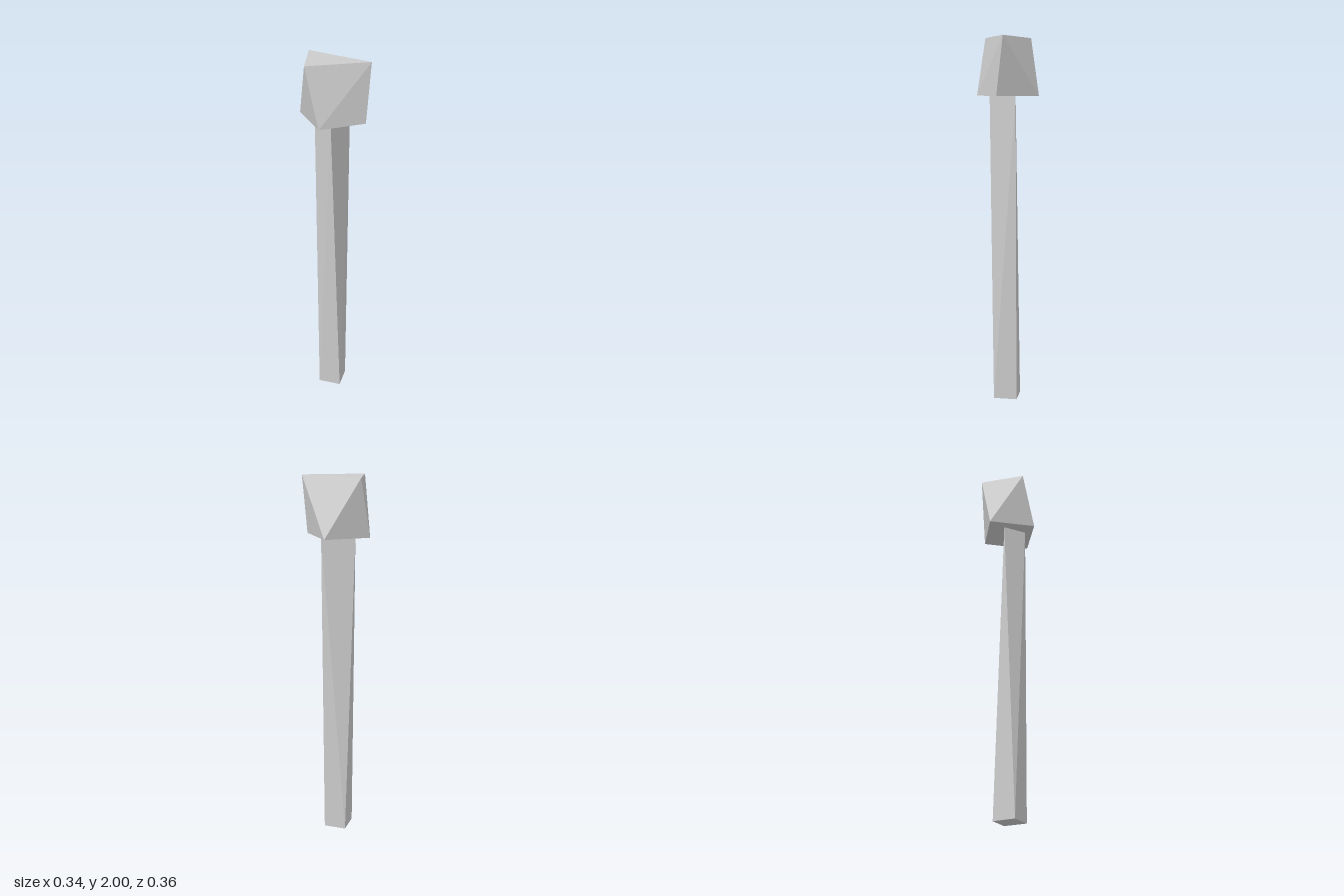
import * as THREE from 'three';
import { ConvexGeometry } from 'three/addons/geometries/ConvexGeometry.js';

const material = new THREE.MeshStandardMaterial({ color: 0xcccccc, flatShading: true });

// A faceted block skinned between a four-cornered base and a three-cornered top, corners as [x, z]
function facetedBlock(name, y0, base, y1, top) {
  const ring = (corners, y) => corners.map(([x, z]) => new THREE.Vector3(x, y, z));
  const mesh = new THREE.Mesh(new ConvexGeometry([...ring(base, y0), ...ring(top, y1)]), material);
  mesh.name = name;
  return mesh;
}

export function createModel() {
  const model = new THREE.Group();
  model.name = 'post';

  // Slender shaft, twisting from a turned square to a triangle
  model.add(facetedBlock(
    'shaft',
    0, [[-0.04, 0.083], [0.08, 0.035], [0.035, -0.08], [-0.083, -0.036]],
    1.69, [[-0.083, 0.05], [0.08, 0.05], [-0.047, -0.08]],
  ));

  // Wider faceted head
  model.add(facetedBlock(
    'head',
    1.69, [[-0.04, -0.182], [0.168, -0.045], [0.04, 0.179], [-0.17, 0.041]],
    2, [[-0.17, -0.045], [0.04, -0.182], [0.08, 0.179]],
  ));

  return model;
}
